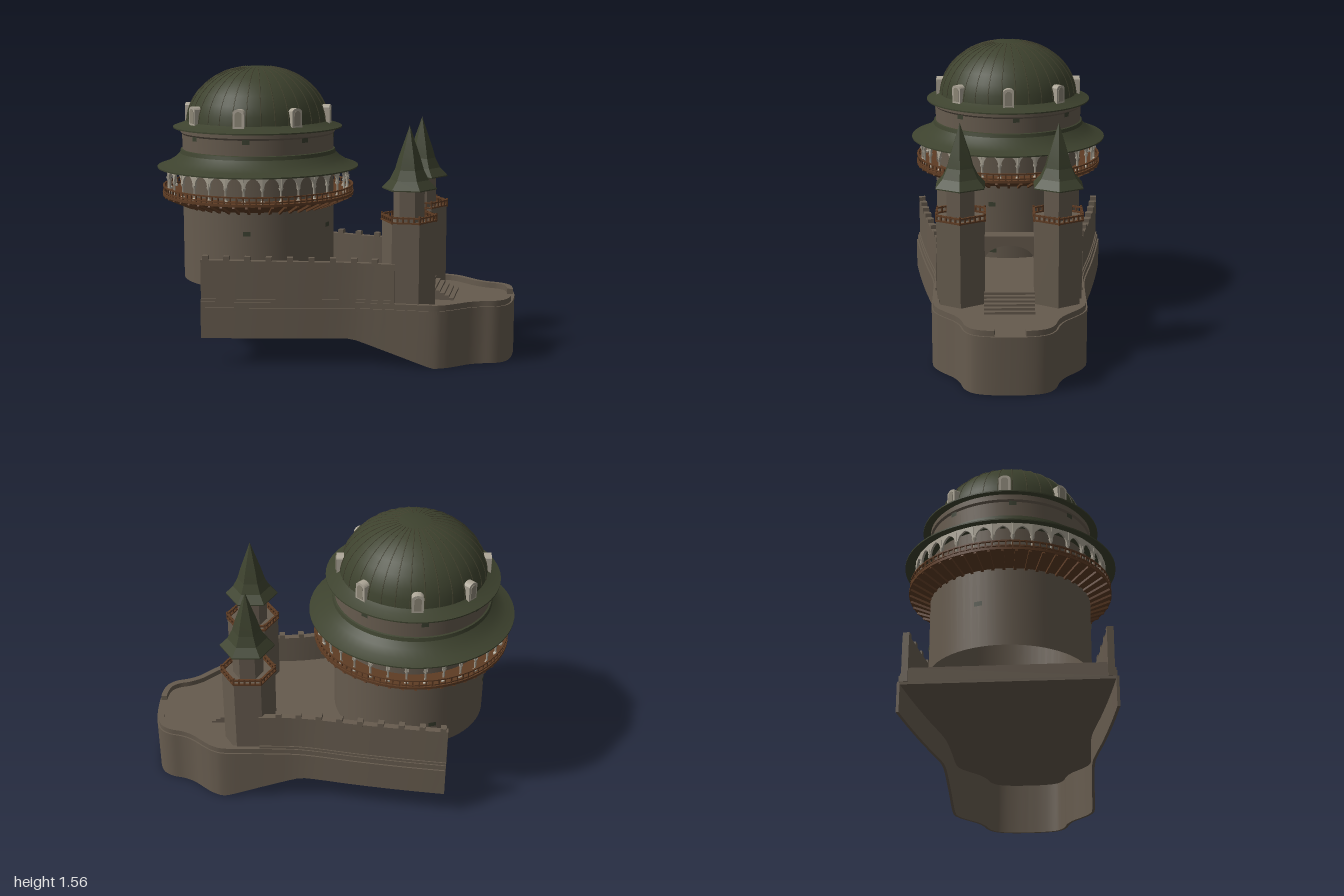
import * as THREE from 'three';
import { toCreasedNormals } from 'three/addons/utils/BufferGeometryUtils.js';

const material = (name, color, side = THREE.FrontSide) => {
  const m = new THREE.MeshStandardMaterial({ color, side });
  m.name = name;
  return m;
};
const stone = material('stone', 0x665b4e, THREE.DoubleSide);
const roofGreen = material('roof green', 0x3d422e, THREE.DoubleSide);
const ribGreen = material('rib green', 0x474632);
const wood = material('wood', 0x5e3c24);
const plaster = material('plaster', 0xaca596, THREE.DoubleSide);
const pane = material('pane', 0x8c8676);
const moss = material('moss', 0x3b4030, THREE.DoubleSide);

const V2 = (a) => a.map(([x, y]) => new THREE.Vector2(x, y));

function add(parent, name, geo, mat, x = 0, y = 0, z = 0) {
  const m = new THREE.Mesh(geo, mat);
  m.name = name;
  m.position.set(x, y, z);
  parent.add(m);
  return m;
}
const lathe = (pts, seg = 64, crease = 0.4) =>
  toCreasedNormals(new THREE.LatheGeometry(V2(pts), seg), crease);

// n copies arranged around the y axis; make(g) builds one copy facing +z
function ring(parent, name, n, make, start = 0) {
  const group = new THREE.Group();
  group.name = name;
  for (let i = 0; i < n; i++) {
    const g = new THREE.Group();
    g.rotation.y = start + (i / n) * Math.PI * 2;
    make(g, i);
    group.add(g);
  }
  parent.add(group);
}

// Wall with a box section following a path; a and b are distances inward
function sweepWall(path, a, b, low, high) {
  const pos = [];
  const rows = path.map((p, i) => {
    const t = path[Math.min(i + 1, path.length - 1)].clone().sub(path[Math.max(i - 1, 0)]).normalize();
    const at = (d, y) => [p.x + t.y * d, y, p.y - t.x * d];
    return [at(a, low(p.x)), at(a, high(p.x)), at(b, high(p.x)), at(b, low(p.x))];
  });
  const quad = (p, q, r, s) => pos.push(...p, ...q, ...r, ...p, ...r, ...s);
  for (let i = 0; i + 1 < rows.length; i++)
    for (let k = 0; k < 4; k++) {
      const n = (k + 1) % 4;
      quad(rows[i][k], rows[i + 1][k], rows[i + 1][n], rows[i][n]);
    }
  quad(...rows[0]);
  quad(...rows[rows.length - 1].slice().reverse());
  const g = new THREE.BufferGeometry();
  g.setAttribute('position', new THREE.Float32BufferAttribute(pos, 3));
  return toCreasedNormals(g, 0.6);
}

// Flat slab from a plan outline (x, z)
function slab(path, y0, y1) {
  const shape = new THREE.Shape(path.map((p) => new THREE.Vector2(p.x, -p.y)));
  const g = new THREE.ExtrudeGeometry(shape, { depth: y1 - y0, bevelEnabled: false });
  return g.rotateX(-Math.PI / 2).translate(0, y0, 0);
}

function buildBase(root) {
  const half = new THREE.SplineCurve(V2([
    [-0.62, 0.557], [-0.4, 0.525], [-0.14, 0.48], [0.15, 0.423], [0.35, 0.412], [0.58, 0.408],
    [0.66, 0.385], [0.72, 0.34], [0.78, 0.287], [0.84, 0.255], [0.91, 0.235], [0.96, 0.2],
    [0.985, 0.15], [0.997, 0.08], [1, 0],
  ])).getPoints(70);
  const path = half.concat(half.slice(0, -1).reverse().map((p) => new THREE.Vector2(p.x, -p.y)));
  const bottom = (x) => 0.145 * (1 - THREE.MathUtils.clamp((x - 0.17) / 0.43, 0, 1));
  add(root, 'terraceSkirt', sweepWall(path, 0, 0.015, bottom, () => 0.31), stone);
  add(root, 'terraceFloor', slab(path, 0.295, 0.31), stone);

  const court = path.filter((p) => p.x < 0.45).map((p) => new THREE.Vector2(p.x, p.y - Math.sign(p.y) * 0.04));
  add(root, 'upperCourt', slab(court, 0.31, 0.385), stone);

  for (const s of [1, -1]) {
    const side = path.filter((p) => p.y * s >= 0.08);
    add(root, 'rim', sweepWall(side, 0.008, 0.04, () => 0.31, () => 0.34), stone);
    const wall = path.filter((p) => p.y * s > 0 && p.x < 0.4);
    const top = (x) => 0.555 - 0.015 * x;
    add(root, 'parapet', sweepWall(wall, 0.02, 0.055, () => 0.31, top), stone);
    add(root, 'parapetBand', sweepWall(wall, 0.014, 0.03, () => 0.33, () => 0.355), stone);
    // Merlons along the parapet
    for (let i = 0; i < 9; i++) {
      const x = -0.6 + i * 0.111;
      const k = Math.max(1, half.findIndex((p) => p.x > x));
      const f = (x - half[k - 1].x) / (half[k].x - half[k - 1].x);
      const z = THREE.MathUtils.lerp(half[k - 1].y, half[k].y, f) - 0.037;
      const m = add(root, 'merlon', new THREE.BoxGeometry(0.032, 0.032, 0.036), stone, x, top(x) + 0.006, s * z);
      m.rotation.y = s * Math.atan2(half[k - 1].y - half[k].y, half[k].x - half[k - 1].x);
    }
  }
  // Stairs up to the gate
  add(root, 'gateFloor', new THREE.BoxGeometry(0.12, 0.075, 0.26), stone, 0.47, 0.3475, 0);
  for (let i = 0; i < 6; i++) {
    const h = 0.0125 * (6 - i);
    add(root, 'stair', new THREE.BoxGeometry(0.026, h, 0.265), stone, 0.543 + i * 0.025, 0.31 + h / 2, 0);
  }
  // Arched bridge between the gate towers
  const arch = new THREE.Shape(V2([[0.14, 0.54], [0.14, 0.67], [-0.14, 0.67], [-0.14, 0.54]]));
  arch.lineTo(-0.13, 0.54);
  arch.absellipse(0, 0.54, 0.13, 0.08, Math.PI, 0, true, 0);
  const bridge = new THREE.ExtrudeGeometry(arch, { depth: 0.08, bevelEnabled: false, curveSegments: 20 });
  add(root, 'gateBridge', bridge.rotateY(Math.PI / 2), stone, 0.405, 0, 0);
}

function buildGateTower(root, z) {
  const g = new THREE.Group();
  g.name = 'gateTower';
  g.position.set(0.45, 0, z);
  root.add(g);
  const hex = (r, y0, y1) => toCreasedNormals(
    new THREE.CylinderGeometry(r, r, y1 - y0, 6).rotateY(Math.PI / 2).translate(0, (y0 + y1) / 2, 0), 0.2);
  add(g, 'shaft', hex(0.145, 0.31, 0.765), stone);
  add(g, 'turret', hex(0.083, 0.765, 0.95), stone);
  add(g, 'spire', lathe([[0.07, 0.945], [0.147, 0.936], [0.147, 0.942], [0.105, 0.985], [0.077, 1.04],
    [0.058, 1.105], [0.03, 1.185], [0, 1.272]], 6, 0.1).rotateY(Math.PI / 2), roofGreen);
  // Wooden railing, one side at a time
  ring(g, 'railing', 6, (s) => {
    for (const y of [0.77, 0.797])
      add(s, 'rail', new THREE.BoxGeometry(0.15, 0.008, 0.012), wood, 0, y, 0.126);
    for (let i = 0; i < 5; i++)
      add(s, 'baluster', new THREE.BoxGeometry(0.009, i ? 0.034 : 0.046, 0.009), wood, -0.072 + i * 0.029, 0.786, 0.126);
  });
}

function buildRotunda(root) {
  const g = new THREE.Group();
  g.name = 'rotunda';
  g.position.x = -0.44;
  root.add(g);
  add(g, 'drum', lathe([[0.421, 0.385], [0.421, 1.235]]), stone);
  add(g, 'drumCornice', lathe([[0.421, 1.19], [0.43, 1.2], [0.43, 1.225]]), stone);

  // Timber gallery with brackets, deck and railing
  add(g, 'galleryFloor', lathe([[0.42, 0.805], [0.525, 0.852], [0.535, 0.852], [0.535, 0.866], [0.42, 0.866]]), wood);
  const step = (Math.PI * 2) / 48;
  ring(g, 'galleryFrame', 48, (s) => {
    const beam = add(s, 'bracket', new THREE.BoxGeometry(0.014, 0.016, 0.12), wood, 0, 0.826, 0.475);
    beam.rotation.x = -0.42;
    for (const y of [0.875, 0.902])
      add(s, 'rail', new THREE.BoxGeometry(0.53 * step + 0.002, 0.007, 0.01), wood, 0, y, 0.527);
    for (const x of [-0.017, 0.017])
      add(s, 'baluster', new THREE.BoxGeometry(0.007, 0.036, 0.007), wood, x, 0.884, 0.527);
  });

  // Arcade of slender columns
  const n = 32, r = 0.5, w = r * Math.tan(Math.PI / n);
  const arch = new THREE.Shape(V2([[w, 0.945], [w, 1.022], [-w, 1.022], [-w, 0.945]]));
  arch.lineTo(-w + 0.008, 0.945);
  arch.quadraticCurveTo(-w + 0.008, 0.985, 0, 1.002);
  arch.quadraticCurveTo(w - 0.008, 0.985, w - 0.008, 0.945);
  const archGeo = new THREE.ExtrudeGeometry(arch, { depth: 0.012, bevelEnabled: false, curveSegments: 6 });
  const column = lathe([[0.012, 0.866], [0.012, 0.876], [0.006, 0.882], [0.006, 0.93], [0.012, 0.942], [0.012, 0.948]], 8, 0.6);
  ring(g, 'arcade', n, (s) => {
    add(s, 'arch', archGeo, plaster, 0, 0, r - 0.006);
    add(s, 'column', column, plaster, w, 0, r);
  });

  // Flared gallery roof, dome and ribs
  add(g, 'galleryRoof', lathe([[0.42, 1.035], [0.56, 1.004], [0.56, 1.011], [0.51, 1.027], [0.465, 1.055],
    [0.435, 1.085], [0.43, 1.105], [0.42, 1.108]]), roofGreen);
  const dome = [[0.395, 1.262], [0.388, 1.31], [0.368, 1.365], [0.335, 1.418], [0.29, 1.465],
    [0.235, 1.505], [0.165, 1.537], [0.085, 1.556], [0, 1.562]];
  add(g, 'domeBrim', lathe([[0.42, 1.235], [0.47, 1.224], [0.47, 1.231], [0.425, 1.246], [0.395, 1.262]]), roofGreen);
  add(g, 'dome', lathe(dome, 64, 0.6), roofGreen);
  const ribPath = new THREE.CatmullRomCurve3(dome.slice(0, -1).map(([x, y]) => new THREE.Vector3(0, y, x)));
  const rib = new THREE.TubeGeometry(ribPath, 16, 0.0028, 4);
  ring(g, 'domeRibs', 32, (s) => add(s, 'rib', rib, ribGreen), Math.PI / 32);

  // Arched dormer windows
  const arched = (hw, y0, y1, depth) => {
    const s = new THREE.Shape(V2([[-hw, y0], [hw, y0], [hw, y1]]));
    s.quadraticCurveTo(hw * 0.7, y1 + 0.016, 0, y1 + 0.016);
    s.quadraticCurveTo(-hw * 0.7, y1 + 0.016, -hw, y1);
    return new THREE.ExtrudeGeometry(s, { depth, bevelEnabled: false, curveSegments: 5 });
  };
  const frame = arched(0.031, 1.25, 1.338, 0.075), glass = arched(0.019, 1.262, 1.325, 0.003);
  ring(g, 'dormers', 8, (s) => {
    add(s, 'dormer', frame, plaster, 0, 0, 0.338);
    add(s, 'dormerPane', glass, pane, 0, 0, 0.413);
  });

  // Moss patches as thin curved plates: angle, height, size
  const patch = (a, y, arc, h) => add(g, 'mossPatch',
    new THREE.CylinderGeometry(0.4245, 0.4245, h, 6, 1, true, a - arc / 2, arc), moss, 0, y, 0);
  for (let i = 0; i < 8; i++) patch(i * Math.PI / 4 + 0.1, 1.182, 0.09, 0.025);
  for (const [a, y] of [[1.35, 0.7], [1.36, 0.43], [0.1, 0.69], [3.4, 0.52], [4.4, 0.62]]) patch(a, y, 0.1, 0.025);
}

export function createModel() {
  const root = new THREE.Group();
  root.name = 'domedFortress';
  buildBase(root);
  for (const z of [0.255, -0.255]) buildGateTower(root, z);
  buildRotunda(root);
  return root;
}
